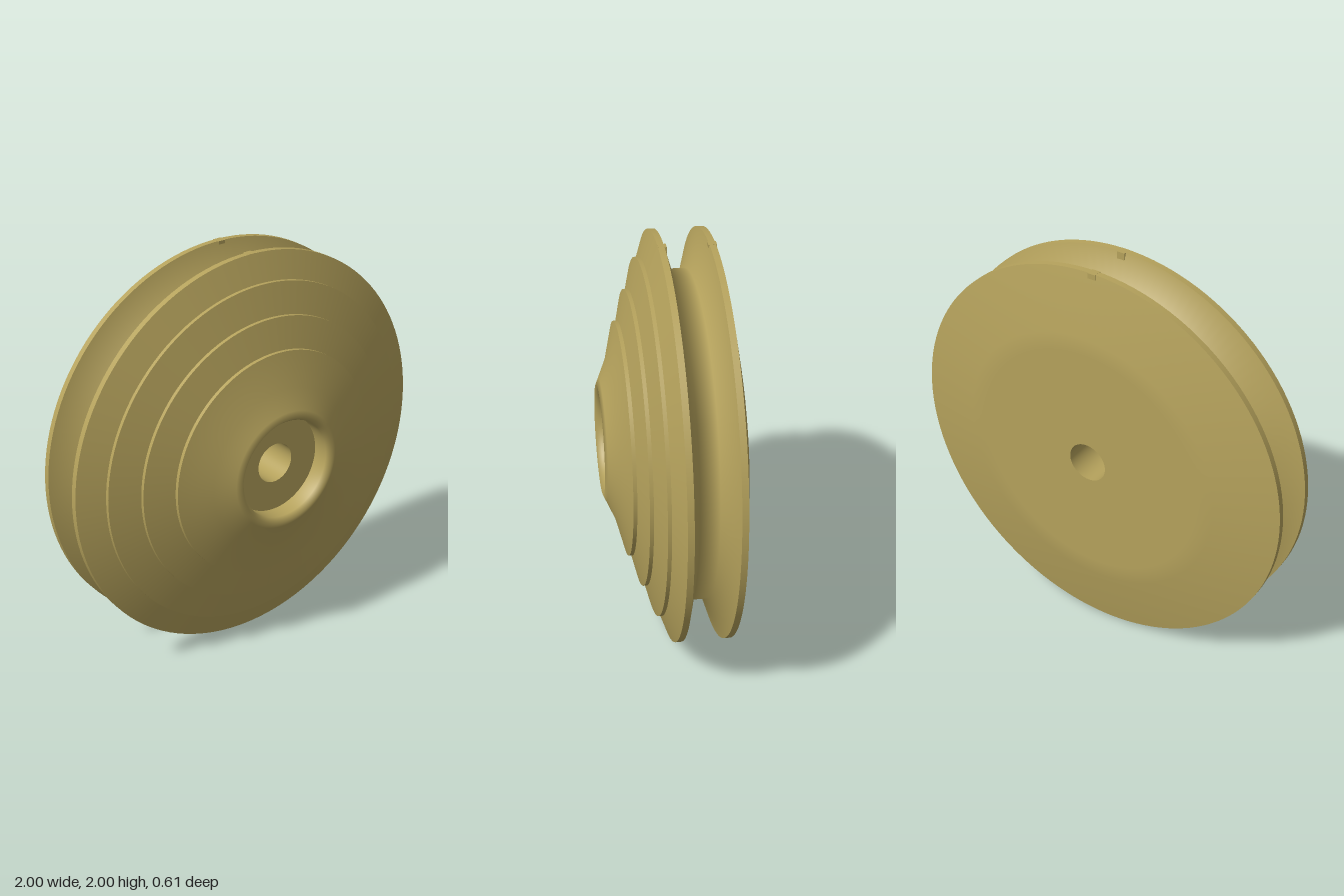
import * as THREE from 'three';

export function createModel() {
  const group = new THREE.Group();
  group.name = 'pulleyWheel';
  const material = new THREE.MeshStandardMaterial({ color: 0xb5a25c });

  // Turned sections as [radius, z] runs; smooth within a run, sharp between runs
  const sections = {
    backFace: [[0.1, -0.305], [0.6, -0.305], [0.69, -0.305], [1, -0.245]],
    backRim: [[1, -0.245], [1, -0.215]],
    beltGroove: [[1, -0.215], [0.805, -0.155], [0.805, -0.065], [1, -0.01]],
    frontRim: [[1, -0.01], [1, 0.02]],
    hubCone: [[0.57, 0.205], [0.4, 0.248], [0.3, 0.292], [0.27, 0.305], [0.25, 0.28], [0.25, 0.2]],
    recessFloor: [[0.25, 0.2], [0.1, 0.2]],
    bore: [[0.1, 0.2], [0.1, -0.305]],
  };

  function addTurned(name, run) {
    const points = run.map(([r, z]) => new THREE.Vector2(r, z));
    const mesh = new THREE.Mesh(new THREE.LatheGeometry(points, 128), material);
    mesh.name = name;
    mesh.rotation.x = Math.PI / 2;
    mesh.position.y = 1;
    group.add(mesh);
  }
  for (const [name, run] of Object.entries(sections)) addTurned(name, run);

  // Stepped front cone: each slope ends under a slim raised lip
  let start = [1, 0.02];
  [[0.87, 0.07], [0.72, 0.13], [0.57, 0.187]].forEach(([r, z], i) => {
    const front = z + 0.018;
    addTurned('stepSlope' + (i + 1), [start, [r - 0.012, z]]);
    addTurned('lipBack' + (i + 1), [[r - 0.012, z], [r, z]]);
    addTurned('lipEdge' + (i + 1), [[r, z], [r, front]]);
    start = [r, front];
  });

  // Small square marker blocks set flush into the top of both rims
  for (const [name, z] of [['backRimMarker', -0.23], ['frontRimMarker', 0]]) {
    const marker = new THREE.Mesh(new THREE.BoxGeometry(0.04, 0.06, 0.04), material);
    marker.name = name;
    marker.position.set(0, 1.97, z);
    group.add(marker);
  }
  return group;
}
